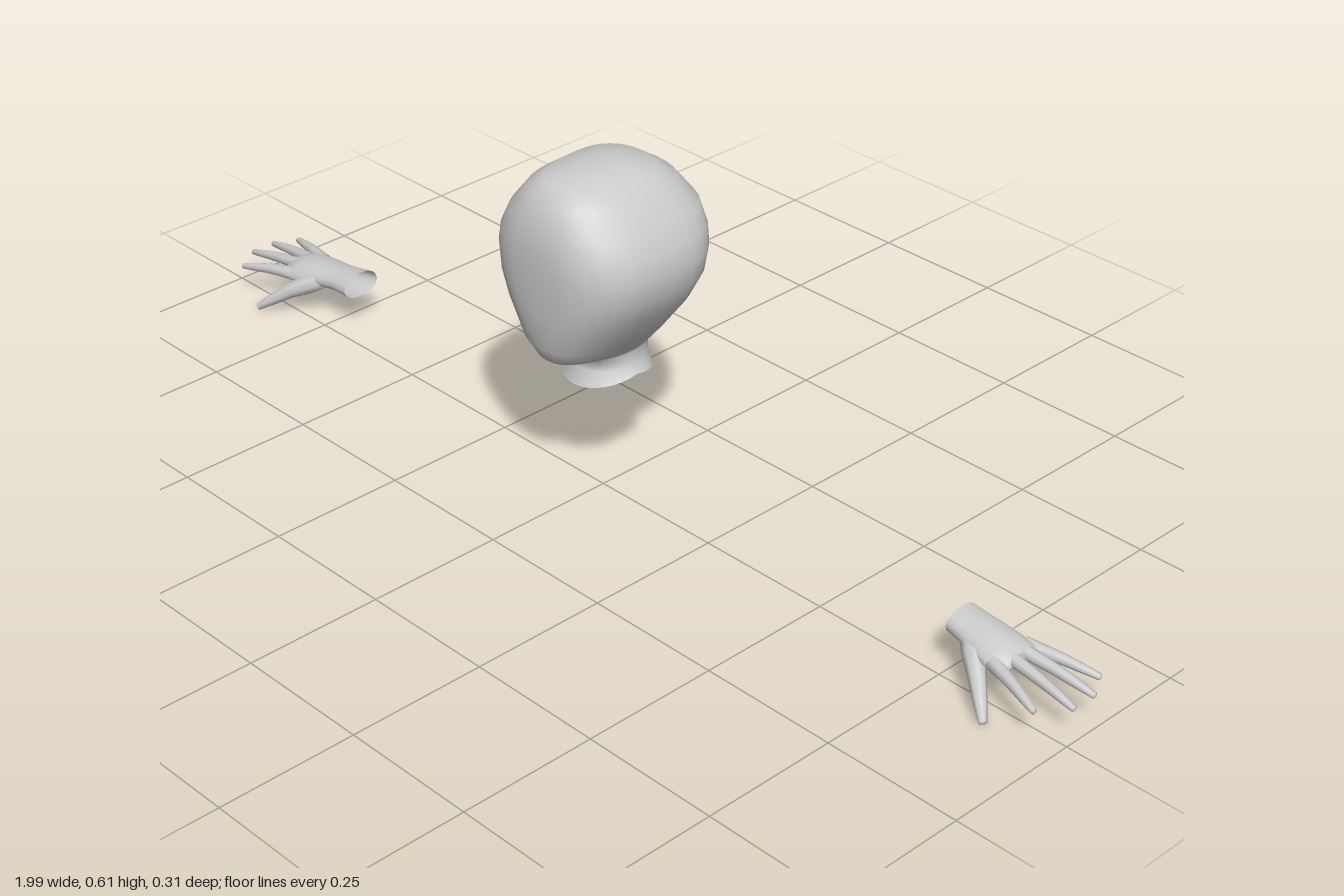
import * as THREE from 'three';

const material = new THREE.MeshStandardMaterial({ color: 0xcccccc, side: THREE.DoubleSide });
const TAU = Math.PI * 2;
const power = (v, n) => Math.sign(v) * Math.abs(v) ** (2 / n);

// Skin a list of equal-sized vertex rings; optionally close the last ring with a fan.
function loft(name, rings, tip) {
  const n = rings[0].length;
  const points = rings.flat();
  const index = [];
  for (let i = 0; i < rings.length - 1; i++) {
    for (let j = 0; j < n; j++) {
      const a = i * n + j, b = i * n + (j + 1) % n;
      index.push(a, b, a + n, b, b + n, a + n);
    }
  }
  if (tip) {
    const base = (rings.length - 1) * n;
    for (let j = 0; j < n; j++) index.push(base + j, base + (j + 1) % n, points.length);
    points.push(tip);
  }
  const geometry = new THREE.BufferGeometry().setFromPoints(points);
  geometry.setIndex(index);
  geometry.computeVertexNormals();
  const mesh = new THREE.Mesh(geometry, material);
  mesh.name = name;
  return mesh;
}

// Head and open neck: each row is height, front z, back z, half width, squareness.
function createHead() {
  const rows = [
    [0.228, 0.068, -0.088, 0.07, 2],
    [0.255, 0.056, -0.085, 0.057, 2],
    [0.278, 0.054, -0.086, 0.053, 2],
    [0.286, 0.09, -0.087, 0.058, 2.2],
    [0.296, 0.127, -0.088, 0.066, 2.4],
    [0.325, 0.142, -0.095, 0.09, 2.6],
    [0.385, 0.15, -0.126, 0.132, 2.7],
    [0.43, 0.152, -0.143, 0.152, 2.8],
    [0.47, 0.153, -0.15, 0.157, 2.8],
    [0.505, 0.152, -0.152, 0.15, 2.8],
    [0.54, 0.147, -0.147, 0.133, 2.7],
    [0.583, 0.132, -0.116, 0.1, 2.5],
    [0.602, 0.106, -0.087, 0.073, 2.4],
    [0.612, 0.056, -0.045, 0.038, 2.2],
  ];
  const sides = 32, zMid = -0.01;
  const rings = rows.map(([y, front, back, half, n], r) =>
    Array.from({ length: sides }, (_, j) => {
      const a = -TAU * j / sides;
      const c = power(Math.cos(a), n), s = power(Math.sin(a), n);
      // The neck's lower edge rises at the sides.
      const lift = r === 0 ? 0.017 * (1 - Math.abs(s)) : 0;
      const z = zMid + s * (s > 0 ? front - zMid : zMid - back);
      return new THREE.Vector3(half * c, y + lift, z);
    }));
  return loft('head', rings, new THREE.Vector3(0, 0.615, 0.003));
}

// Tapered digit along a bent path.
function digit(name, path, radii, sides = 8) {
  const curve = new THREE.CatmullRomCurve3(path);
  const rings = radii.map((radius, i) => {
    const t = i / (radii.length - 1);
    const d = curve.getTangent(t), center = curve.getPoint(t);
    const u = new THREE.Vector3().crossVectors(d, new THREE.Vector3(0, 1, 0)).normalize();
    const v = new THREE.Vector3().crossVectors(u, d);
    return Array.from({ length: sides }, (_, j) => {
      const a = TAU * j / sides;
      return center.clone()
        .addScaledVector(u, radius * Math.cos(a))
        .addScaledVector(v, radius * Math.sin(a));
    });
  });
  const end = path[path.length - 1].clone().addScaledVector(curve.getTangent(1), 0.003);
  return loft(name, rings, end);
}

// Hand pointing outward along x; side is 1 for left, -1 for right.
function createHand(name, side) {
  const hand = new THREE.Group();
  hand.name = name;
  const vec = (x, y, z) => new THREE.Vector3(side * x, y, z);

  // Palm rows: x, centre y, centre z, half thickness, half width, drop at the edges.
  const rows = [
    [0.745, 0.086, -0.05, 0.02, 0.036, 0.002],
    [0.775, 0.083, -0.049, 0.02, 0.038, 0.004],
    [0.805, 0.081, -0.047, 0.02, 0.044, 0.008],
    [0.84, 0.08, -0.045, 0.017, 0.049, 0.012],
    [0.868, 0.077, -0.045, 0.012, 0.049, 0.013],
  ];
  // The right wrist carries a longer flared cuff.
  if (side < 0) rows.unshift([0.705, 0.088, -0.053, 0.024, 0.039, 0.001]);
  const rings = rows.map(([x, y, z, thick, wide, drop]) =>
    Array.from({ length: 16 }, (_, j) => {
      const a = side * TAU * j / 16;
      const c = power(Math.cos(a), 2.3);
      return vec(x, y + thick * Math.sin(a) - drop * c * c, z + wide * c);
    }));
  hand.add(loft('palm', rings, vec(0.874, 0.075, -0.045)));

  // Fingers: base z, base y, tip x, tip y, tip z.
  const fingers = {
    indexFinger: [-0.008, 0.072, 0.955, 0.058, 0.027],
    middleFinger: [-0.033, 0.079, 0.99, 0.056, -0.024],
    ringFinger: [-0.059, 0.078, 0.99, 0.056, -0.072],
    littleFinger: [-0.082, 0.07, 0.967, 0.057, -0.114],
  };
  for (const [label, [z, y, tx, ty, tz]] of Object.entries(fingers)) {
    const path = [
      vec(0.845, y, z),
      vec((0.845 + tx) / 2, (y + ty) / 2 + 0.003, (z + tz) / 2),
      vec(tx, ty, tz),
    ];
    hand.add(digit(label, path, [0.013, 0.011, 0.0095, 0.008, 0.0055]));
  }

  // Thumb hanging forward and down from the heel of the palm.
  const thumb = [vec(0.782, 0.077, -0.03), vec(0.83, 0.05, 0.01), vec(0.881, 0.01, 0.052)];
  hand.add(digit('thumb', thumb, [0.017, 0.019, 0.015, 0.012, 0.007]));
  return hand;
}

export function createModel() {
  const model = new THREE.Group();
  model.name = 'headAndHands';
  model.add(createHead(), createHand('leftHand', 1), createHand('rightHand', -1));
  return model;
}
